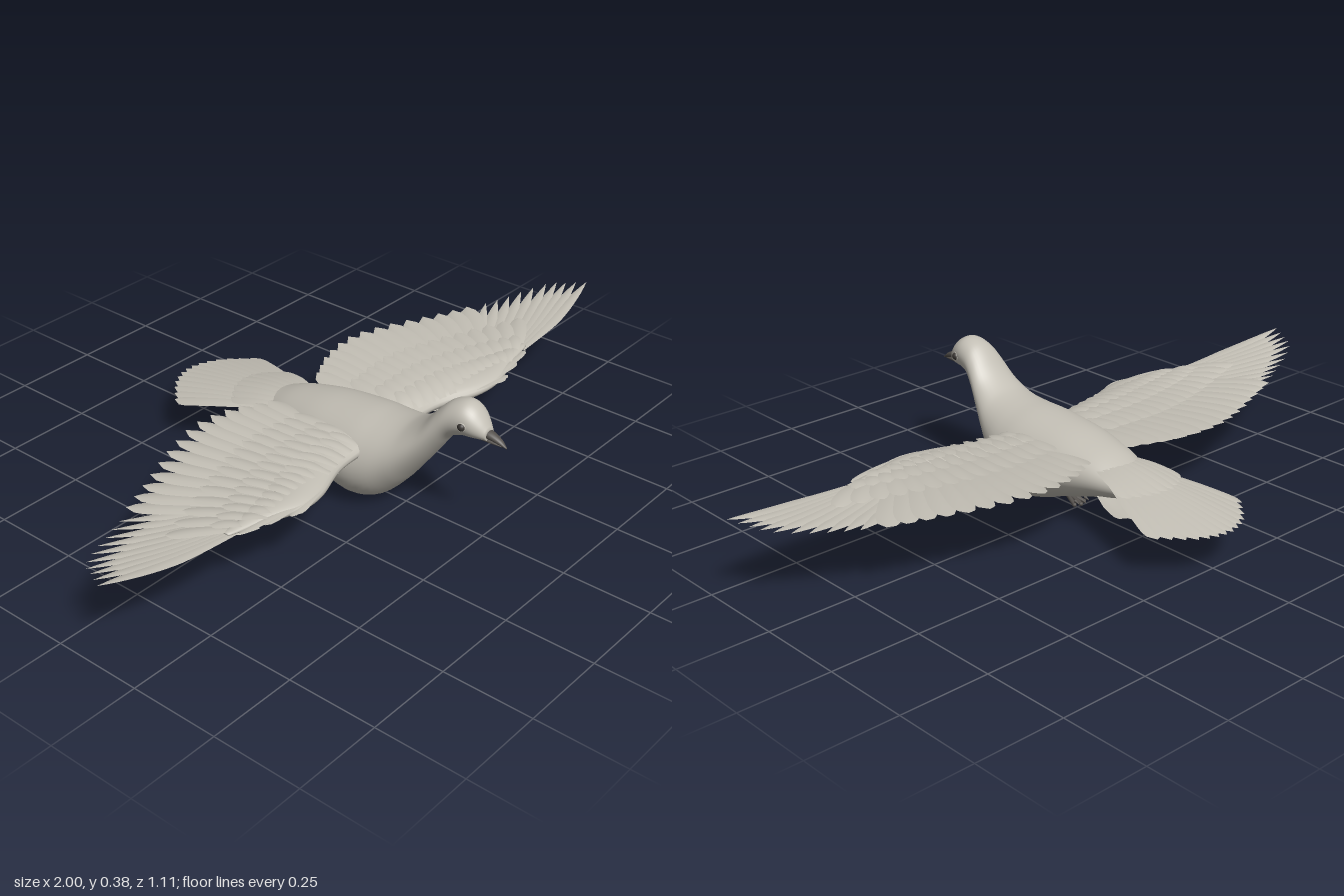
import * as THREE from 'three';
import { mergeGeometries } from 'three/addons/utils/BufferGeometryUtils.js';

const mat = (name, color, side = THREE.FrontSide) => {
  const m = new THREE.MeshStandardMaterial({ color, side });
  m.name = name;
  return m;
};
const curve = (pts) =>
  new THREE.CatmullRomCurve3(pts.map((p) => new THREE.Vector3(...p)), false, 'catmullrom', 0.5);

// Smooth closed skin along z through rows of [z, top, bottom, halfWidth, centreX]
function loft(rows, steps = 48, sides = 32) {
  const spine = curve(rows.map((r) => [r[0], r[1], r[2]]));
  const girth = curve(rows.map((r) => [r[0], r[3], r[4] || 0]));
  const pos = [], index = [];
  for (let i = 0; i <= steps; i++) {
    const p = spine.getPoint(i / steps), g = girth.getPoint(i / steps);
    for (let j = 0; j < sides; j++) {
      const a = (j / sides) * Math.PI * 2;
      pos.push(g.z + g.y * Math.cos(a), (p.y + p.z) / 2 + ((p.y - p.z) / 2) * Math.sin(a), p.x);
      if (i === steps) continue;
      const k = i * sides + j, n = i * sides + ((j + 1) % sides);
      index.push(k, n, k + sides, n, n + sides, k + sides);
    }
  }
  // end caps
  for (let j = 1; j < sides - 1; j++) {
    const e = steps * sides;
    index.push(0, j + 1, j, e, e + j, e + j + 1);
  }
  const geo = new THREE.BufferGeometry();
  geo.setAttribute('position', new THREE.Float32BufferAttribute(pos, 3));
  geo.setIndex(index);
  geo.computeVertexNormals();
  return geo;
}

// One cambered feather blade from base to tip
function feather(base, tip, half, { taper = 0.7, power = 0.5, roll = 0.12, bow = 0.006 }) {
  const geo = new THREE.PlaneGeometry(2, 1, 4, 14);
  const pos = geo.attributes.position;
  const along = tip.clone().sub(base);
  const side = new THREE.Vector3().crossVectors(along, new THREE.Vector3(0, 1, 0)).normalize();
  side.y += roll;
  const v = new THREE.Vector3();
  for (let i = 0; i < pos.count; i++) {
    const s = pos.getX(i), t = pos.getY(i) + 0.5;
    const u = Math.max(0, (t - taper) / (1 - taper));
    const w = half * Math.min(1, 0.55 + t) * Math.pow(Math.max(0, 1 - u * u), power);
    v.copy(base).addScaledVector(along, t).addScaledVector(side, s * w);
    v.y += bow * Math.sin(Math.PI * t) - 0.18 * w * s * s;
    pos.setXYZ(i, v.x, v.y, v.z);
  }
  geo.computeVertexNormals();
  return geo;
}

// A row of overlapping feathers between a curve of bases and a curve of tips
function featherRow(name, n, bases, tips, half, material, shape = {}) {
  const b = curve(bases), t = curve(tips), list = [];
  for (let i = 0; i < n; i++) {
    const k = i / (n - 1);
    list.push(feather(b.getPoint(k), t.getPoint(k), half, shape));
  }
  const mesh = new THREE.Mesh(mergeGeometries(list), material);
  mesh.name = name;
  return mesh;
}

export function createModel() {
  const plumage = mat('plumage', 0xc2beb4);
  const feathers = mat('feathers', 0xc2beb4, THREE.DoubleSide);
  const horn = mat('horn', 0x55514d);
  const eyeDark = mat('eyeDark', 0x3a3633);

  const model = new THREE.Group();
  model.name = 'bird';
  const add = (parent, name, geo, material) => {
    const mesh = new THREE.Mesh(geo, material);
    mesh.name = name;
    parent.add(mesh);
    return mesh;
  };

  // Body, neck and head in one skin, rump to face
  add(model, 'body', loft([
    [-0.27, 0.15, 0.13, 0.02], [-0.245, 0.168, 0.11, 0.05], [-0.19, 0.188, 0.097, 0.075],
    [-0.13, 0.21, 0.082, 0.097], [-0.06, 0.227, 0.06, 0.117], [0.0, 0.238, 0.042, 0.13],
    [0.07, 0.246, 0.015, 0.141], [0.137, 0.252, 0.001, 0.145], [0.197, 0.255, 0.018, 0.135],
    [0.25, 0.262, 0.07, 0.115], [0.287, 0.275, 0.118, 0.099], [0.33, 0.305, 0.176, 0.08],
    [0.37, 0.35, 0.232, 0.065], [0.4, 0.374, 0.27, 0.057], [0.437, 0.384, 0.287, 0.051],
    [0.465, 0.373, 0.29, 0.044], [0.487, 0.35, 0.292, 0.032], [0.505, 0.325, 0.293, 0.018],
  ], 80, 40), plumage);

  // Beak
  add(model, 'upperBeak', loft([
    [0.49, 0.325, 0.299, 0.017], [0.515, 0.319, 0.298, 0.014],
    [0.54, 0.307, 0.293, 0.009], [0.558, 0.291, 0.288, 0.002],
  ], 16, 16), horn);
  add(model, 'lowerBeak', loft([
    [0.49, 0.302, 0.29, 0.014], [0.52, 0.299, 0.289, 0.01], [0.545, 0.293, 0.289, 0.004],
  ], 12, 16), horn);

  for (const s of [1, -1]) {
    const word = s > 0 ? 'left' : 'right';

    // Eye with its rim
    const eye = add(model, word + 'Eye', new THREE.SphereGeometry(0.011, 20, 14), eyeDark);
    eye.position.set(s * 0.045, 0.331, 0.45);
    const rim = add(model, word + 'EyeRim', new THREE.TorusGeometry(0.011, 0.002, 8, 24), plumage);
    rim.position.set(s * 0.047, 0.331, 0.45);
    rim.rotation.y = s * 1.35;

    // Tucked foot
    const foot = new THREE.Group();
    foot.name = word + 'Foot';
    for (const k of [-1, 0, 1]) {
      const toe = add(foot, 'toe', new THREE.CapsuleGeometry(0.006, 0.045, 4, 8), horn);
      toe.rotation.set(Math.PI / 2 - 0.3, 0, k * 0.3);
      toe.position.set(k * 0.011, 0, k ? 0 : -0.006);
      const claw = add(foot, 'claw', new THREE.ConeGeometry(0.005, 0.018, 8), horn);
      claw.rotation.x = -Math.PI / 2 - 0.3;
      claw.position.set(k * 0.018, 0.004, k ? -0.033 : -0.04);
    }
    foot.position.set(s * 0.05, 0.056, -0.04);
    model.add(foot);

    // Wing, built on the left and mirrored
    const wing = new THREE.Group();
    wing.name = word + 'Wing';
    wing.scale.x = s;
    model.add(wing);
    add(wing, 'wingArm', loft([
      [0.06, 0.215, 0.15, 0.09, -0.1], [0.2, 0.212, 0.15, 0.08, -0.115],
      [0.33, 0.21, 0.156, 0.07, -0.17], [0.42, 0.208, 0.166, 0.048, -0.198],
      [0.52, 0.205, 0.177, 0.028, -0.19], [0.62, 0.2, 0.19, 0.01, -0.185],
    ], 32, 24).rotateY(Math.PI / 2), plumage);

    const row = (...args) => wing.add(featherRow(...args));
    row('secondaries', 14,
      [[0.09, 0.185, 0.08], [0.3, 0.185, 0.12], [0.5, 0.185, 0.14]],
      [[0.1, 0.205, -0.15], [0.2, 0.209, -0.197], [0.32, 0.211, -0.212], [0.45, 0.206, -0.18],
        [0.58, 0.202, -0.125], [0.7, 0.2, -0.075]], 0.034, feathers);
    row('primaries', 10,
      [[0.42, 0.185, 0.13], [0.52, 0.188, 0.165], [0.6, 0.192, 0.188]],
      [[0.755, 0.2, -0.045], [0.82, 0.205, -0.015], [0.89, 0.215, 0.015], [0.95, 0.226, 0.055],
        [0.975, 0.233, 0.1], [1, 0.241, 0.15]], 0.027, feathers,
      { taper: 0.35, power: 0.9, bow: -0.008 });
    row('greaterCoverts', 15,
      [[0.09, 0.2, 0.13], [0.35, 0.197, 0.17], [0.58, 0.194, 0.19]],
      [[0.12, 0.217, -0.04], [0.3, 0.219, -0.05], [0.5, 0.212, 0], [0.73, 0.207, 0.09]],
      0.025, feathers);
    row('medianCoverts', 14,
      [[0.1, 0.205, 0.15], [0.34, 0.202, 0.19], [0.56, 0.197, 0.195]],
      [[0.13, 0.222, 0.04], [0.3, 0.223, 0.04], [0.47, 0.217, 0.08], [0.63, 0.207, 0.14]],
      0.021, feathers);
    row('lesserCoverts', 13,
      [[0.11, 0.2, 0.175], [0.33, 0.2, 0.215], [0.5, 0.197, 0.215]],
      [[0.14, 0.222, 0.1], [0.3, 0.221, 0.11], [0.42, 0.215, 0.14], [0.56, 0.206, 0.17]],
      0.019, feathers);
    row('alula', 4,
      [[0.3, 0.19, 0.215], [0.35, 0.192, 0.235]],
      [[0.44, 0.187, 0.252], [0.6, 0.194, 0.207]], 0.016, feathers);
    row('underGreaterCoverts', 14,
      [[0.1, 0.165, 0.12], [0.34, 0.17, 0.16], [0.56, 0.18, 0.18]],
      [[0.12, 0.17, -0.07], [0.3, 0.175, -0.09], [0.48, 0.178, -0.04], [0.68, 0.187, 0.06]],
      0.025, feathers, { roll: -0.12, bow: -0.006 });
    row('underLesserCoverts', 13,
      [[0.11, 0.152, 0.16], [0.33, 0.162, 0.2], [0.52, 0.176, 0.2]],
      [[0.13, 0.148, 0.03], [0.3, 0.152, 0.02], [0.46, 0.164, 0.07], [0.6, 0.18, 0.13]],
      0.021, feathers, { roll: -0.12, bow: -0.006 });
  }

  // Tail fan and its coverts: arc of tips from side to side
  const fan = (name, n, base, tip, half, shape) => {
    const arc = ([x, y, z, back, drop]) =>
      [-1, -0.5, 0, 0.5, 1].map((s) => [x * s, y - drop * s * s, z + back * s * s]);
    model.add(featherRow(name, n, arc(base), arc(tip), half, feathers, shape));
  };
  fan('tailFan', 14, [0.05, 0.17, -0.17, 0, 0.008], [0.157, 0.119, -0.555, 0.1, 0.0], 0.026,
    { taper: 0.82, roll: 0.08 });
  fan('upperTailCoverts', 9, [0.05, 0.193, -0.13, 0, 0.012], [0.095, 0.162, -0.34, 0.045, 0.006],
    0.025, { taper: 0.75, roll: 0.08 });
  fan('underTailCoverts', 9, [0.045, 0.1, -0.13, 0, -0.008], [0.09, 0.094, -0.33, 0.05, 0],
    0.022, { taper: 0.75, roll: -0.08, bow: -0.003 });

  return model;
}
